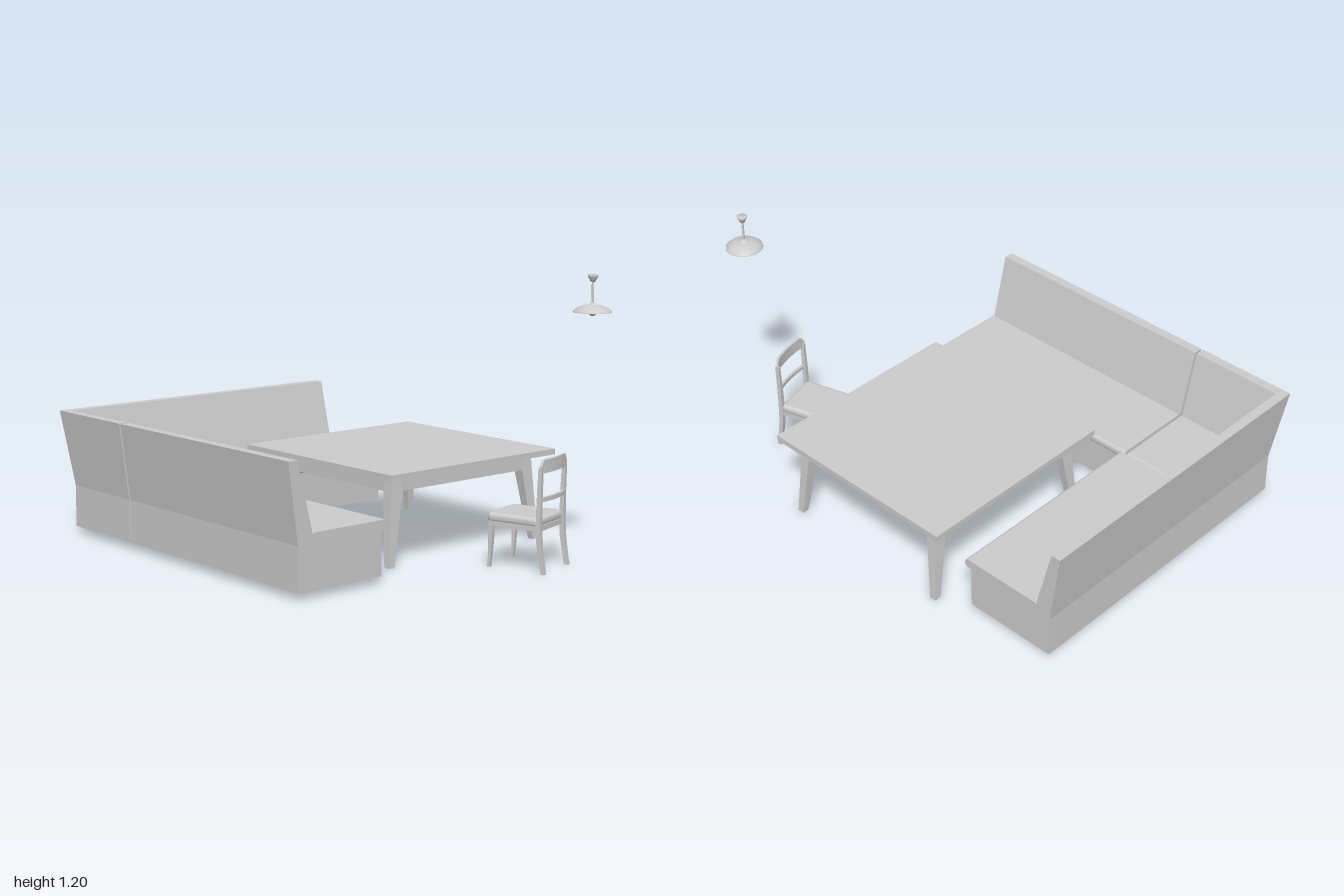
import * as THREE from 'three';
import { RoundedBoxGeometry } from 'three/addons/geometries/RoundedBoxGeometry.js';

const material = new THREE.MeshStandardMaterial({ color: 0xcccccc, side: THREE.DoubleSide });

function add(parent, name, geometry, x = 0, y = 0, z = 0) {
  const mesh = new THREE.Mesh(geometry, material);
  mesh.name = name;
  mesh.position.set(x, y, z);
  parent.add(mesh);
  return mesh;
}

function group(parent, name) {
  const g = new THREE.Group();
  g.name = name;
  parent.add(g);
  return g;
}

// Box given by its limits
function block(parent, name, x0, x1, y0, y1, z0, z1) {
  return add(parent, name, new THREE.BoxGeometry(x1 - x0, y1 - y0, z1 - z0),
    (x0 + x1) / 2, (y0 + y1) / 2, (z0 + z1) / 2);
}

// Flat-faced solid through a row of convex sections, capped at both ends
function loft(sections) {
  const n = sections[0].length;
  const pos = [];
  const tri = (a, b, c) => pos.push(...a, ...b, ...c);
  for (let i = 0; i < sections.length - 1; i++) {
    const s = sections[i], t = sections[i + 1];
    for (let j = 0; j < n; j++) {
      const k = (j + 1) % n;
      tri(s[j], s[k], t[k]);
      tri(s[j], t[k], t[j]);
    }
  }
  const first = sections[0], last = sections[sections.length - 1];
  for (let j = 1; j < n - 1; j++) {
    tri(first[0], first[j + 1], first[j]);
    tri(last[0], last[j], last[j + 1]);
  }
  // Turn the faces outward if the signed volume is negative
  let volume = 0;
  const a = new THREE.Vector3(), b = new THREE.Vector3(), c = new THREE.Vector3();
  for (let i = 0; i < pos.length; i += 9) {
    volume += a.fromArray(pos, i).dot(b.fromArray(pos, i + 3).cross(c.fromArray(pos, i + 6)));
  }
  if (volume < 0) {
    for (let i = 0; i < pos.length; i += 9) {
      for (let k = 3; k < 6; k++) [pos[i + k], pos[i + k + 3]] = [pos[i + k + 3], pos[i + k]];
    }
  }
  const geometry = new THREE.BufferGeometry();
  geometry.setAttribute('position', new THREE.Float32BufferAttribute(pos, 3));
  geometry.computeVertexNormals();
  return geometry;
}

// Horizontal rectangle used as a loft section
const rect = (x0, x1, z0, z1, y) => [[x0, y, z0], [x1, y, z0], [x1, y, z1], [x0, y, z1]];

// Bench box, open underneath
function benchBase(parent, x0, x1, z0, z1) {
  const t = 0.005, y0 = 0.03, y1 = 0.217;
  const base = group(parent, 'benchBase');
  block(base, 'seatBoard', x0, x1, y1 - t, y1, z0, z1);
  block(base, 'leftPanel', x1 - t, x1, y0, y1 - t, z0, z1);
  block(base, 'rightPanel', x0, x0 + t, y0, y1 - t, z0, z1);
  block(base, 'frontPanel', x0 + t, x1 - t, y0, y1 - t, z1 - t, z1);
  block(base, 'backPanel', x0 + t, x1 - t, y0, y1 - t, z0, z0 + t);
}

// Cushion with rounded long edges; u runs across the bench
function cushion(u0, u1, length) {
  const y0 = 0.217, y1 = 0.257, r = 0.016;
  const s = new THREE.Shape();
  s.moveTo(u0 + r, y0);
  s.lineTo(u1 - r, y0);
  s.absarc(u1 - r, y0 + r, r, -Math.PI / 2, 0);
  s.absarc(u1 - r, y1 - r, r, 0, Math.PI / 2);
  s.absarc(u0 + r, y1 - r, r, Math.PI / 2, Math.PI);
  s.absarc(u0 + r, y0 + r, r, Math.PI, Math.PI * 1.5);
  return new THREE.ExtrudeGeometry(s, { depth: length, bevelEnabled: false, curveSegments: 6 });
}

function buildBench(root) {
  const bench = group(root, 'cornerBench');
  const X = -0.78, Z = -1, endX = 0.675, endZ = 0.603, gap0 = -0.535, gap1 = -0.524;
  // Leaning backrest: distance inward from the outer edge, height
  const profile = [[0.045, 0.215], [0, 0.547], [0.043, 0.547], [0.127, 0.215]];
  const alongZ = z => profile.map(([d, y]) => [X + d, y, z]);
  add(bench, 'cornerBackrest', loft([
    profile.map(([d, y]) => [endX, y, Z + d]),
    profile.map(([d, y]) => [X + d, y, Z + d]),
    alongZ(gap0),
  ]));
  add(bench, 'sideBackrest', loft([alongZ(gap1), alongZ(endZ)]));
  benchBase(bench, -0.735, endX, -0.955, gap0);
  benchBase(bench, -0.735, -0.313, gap1, endZ);
  add(bench, 'sideCushion', cushion(-0.668, -0.28, endZ - gap1), 0, 0, gap1);
  add(bench, 'cornerCushion', cushion(-0.668, -0.28, 0.35), 0, 0, -0.888);
  add(bench, 'backCushion', cushion(-0.888, -0.5, endX + 0.279).rotateY(-Math.PI / 2), endX);
}

function buildTable(root) {
  const table = group(root, 'table');
  table.position.set(0.305, 0, 0.027);
  block(table, 'tableTop', -0.475, 0.475, 0.376, 0.401, -0.4735, 0.4735);
  const ax = 0.404, az = 0.396, t = 0.03;
  for (const s of [-1, 1]) {
    const x = s * (ax - t / 2), z = s * (az - t / 2);
    block(table, 'apron', -ax, ax, 0.31, 0.376, z - t / 2, z + t / 2);
    block(table, 'sideApron', x - t / 2, x + t / 2, 0.31, 0.376, t - az, az - t);
    // Tapered legs, splayed outward
    for (const q of [-1, 1]) {
      add(table, 'tableLeg', loft([
        rect(s * 0.405, s * 0.435, q * 0.388, q * 0.418, 0),
        rect(s * 0.35, s * 0.41, q * 0.352, q * 0.4, 0.31),
        rect(s * 0.35, s * 0.405, q * 0.352, q * 0.397, 0.376),
      ]));
    }
  }
}

function buildChair(root) {
  const chair = group(root, 'chair');
  chair.position.set(0.347, 0, 0.76);
  chair.rotation.y = 0.28;
  // Curved square legs: height, depth position, half thickness
  const leg = (x, points) => loft(points.map(([y, z, r]) => rect(x - r, x + r, z - r, z + r, y)));
  for (const s of [-1, 1]) {
    add(chair, 'backPost', leg(s * 0.103, [[0, 0.13, 0.009], [0.06, 0.12, 0.009],
      [0.12, 0.111, 0.01], [0.18, 0.107, 0.01], [0.3, 0.108, 0.009], [0.43, 0.112, 0.008]]));
    add(chair, 'frontLeg', leg(s * 0.1, [[0, -0.122, 0.007], [0.05, -0.116, 0.007],
      [0.11, -0.113, 0.009], [0.18, -0.113, 0.011]]));
  }
  // Rails bowed backward between the posts
  const rail = (y0, y1, round) => {
    const sections = [];
    for (let i = 0; i <= 12; i++) {
      const u = i / 6 - 1, x = u * 0.111, z = 0.112 + 0.012 * (1 - u * u);
      const top = y1 - round * (1 - Math.sqrt(1 - Math.pow(Math.abs(u), 12)));
      sections.push([[x, y0, z - 0.006], [x, top, z - 0.006], [x, top, z + 0.006], [x, y0, z + 0.006]]);
    }
    return loft(sections);
  };
  add(chair, 'topRail', rail(0.412, 0.467, 0.03));
  add(chair, 'middleRail', rail(0.295, 0.313, 0));
  block(chair, 'seatFrame', -0.108, 0.108, 0.172, 0.195, -0.122, 0.11);
  add(chair, 'seatCushion', new RoundedBoxGeometry(0.222, 0.042, 0.238, 4, 0.018), 0, 0.207, -0.012);
}

function buildLamp(root) {
  const lamp = group(root, 'pendantLamp');
  lamp.position.set(0.537, 0, 0.92);
  const lathe = (name, points) => add(lamp, name,
    new THREE.LatheGeometry(points.map(([r, y]) => new THREE.Vector2(r, y)), 32));
  lathe('ceilingCup', [[0, 1.168], [0.01, 1.168], [0.013, 1.175], [0.02, 1.187], [0.022, 1.196], [0, 1.196]]);
  add(lamp, 'stem', new THREE.CylinderGeometry(0.005, 0.005, 0.1, 12), 0, 1.123, 0);
  lathe('shade', [[0.079, 1.045], [0.078, 1.05], [0.066, 1.06], [0.05, 1.068], [0.033, 1.073],
    [0.015, 1.076], [0.011, 1.084], [0, 1.086]]);
  add(lamp, 'bulb', new THREE.SphereGeometry(0.017, 20, 12), 0, 1.046, 0);
}

export function createModel() {
  const root = new THREE.Group();
  root.name = 'diningCorner';
  buildBench(root);
  buildTable(root);
  buildChair(root);
  buildLamp(root);
  return root;
}
